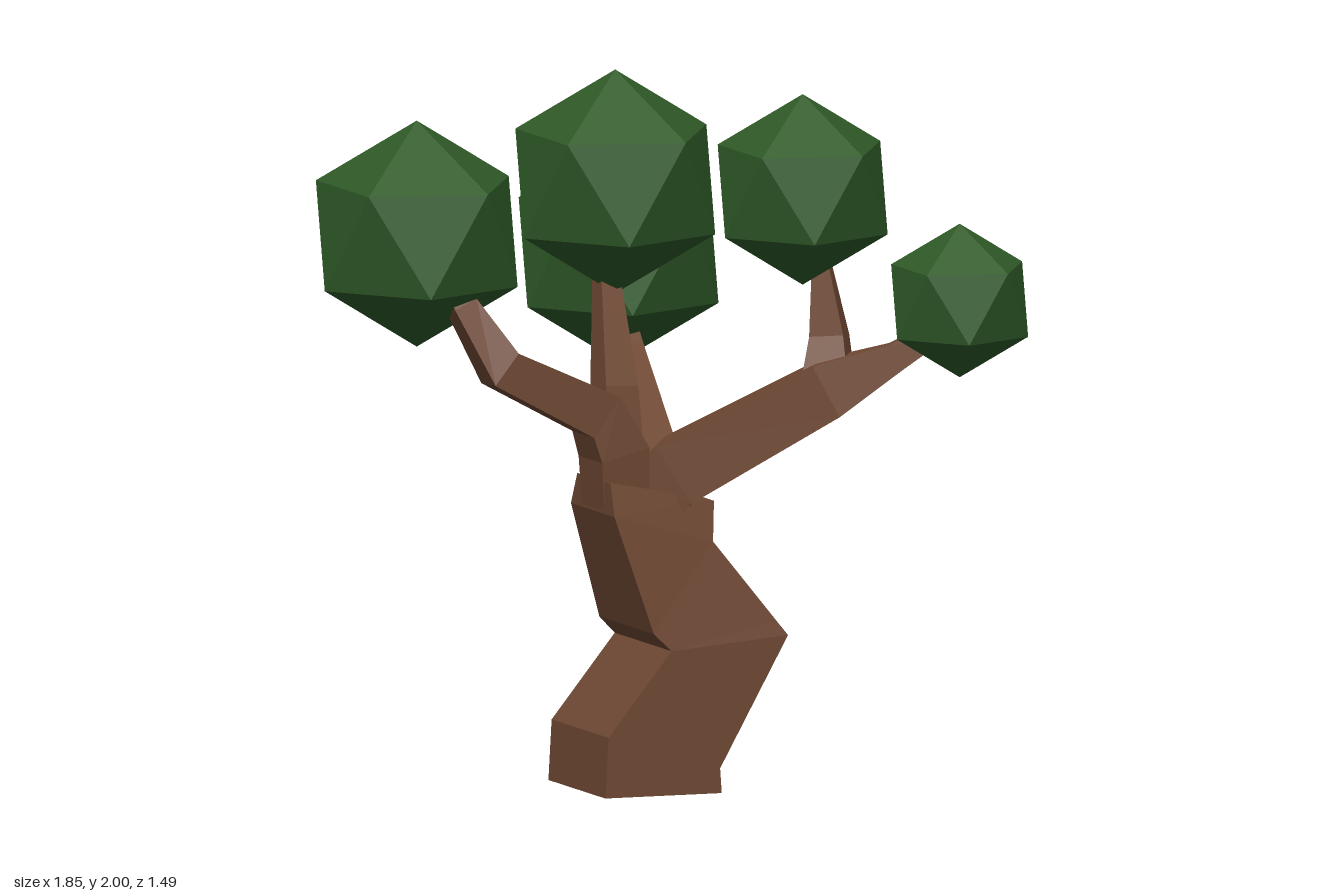
import * as THREE from 'three';

const bark = new THREE.MeshStandardMaterial({ color: 0x704934, flatShading: true });
const leaf = new THREE.MeshStandardMaterial({ color: 0x2f5a28, flatShading: true });

// Skins a list of four-cornered rings and caps both ends.
function loft(name, rings) {
  const pos = [];
  const quad = (a, b, c, d) => [a, b, c, a, c, d].forEach(p => pos.push(p.x, p.y, p.z));
  for (let r = 0; r < rings.length - 1; r++) {
    const lo = rings[r], hi = rings[r + 1];
    for (let i = 0; i < 4; i++) {
      const j = (i + 1) % 4;
      quad(lo[i], lo[j], hi[j], hi[i]);
    }
  }
  quad(...[...rings[0]].reverse());
  quad(...rings[rings.length - 1]);
  const geo = new THREE.BufferGeometry();
  geo.setAttribute('position', new THREE.Float32BufferAttribute(pos, 3));
  geo.computeVertexNormals();
  const mesh = new THREE.Mesh(geo, bark);
  mesh.name = name;
  return mesh;
}

// Square tapering limb along points [x, y, z, half width]; side sets its roll.
function limb(name, side, path) {
  const pts = path.map(p => new THREE.Vector3(p[0], p[1], p[2]));
  const ref = new THREE.Vector3(...side);
  const rings = pts.map((p, i) => {
    const before = pts[Math.max(i - 1, 0)], after = pts[Math.min(i + 1, pts.length - 1)];
    const t = after.clone().sub(before).normalize();
    const u = ref.clone().addScaledVector(t, -ref.dot(t)).normalize();
    const v = t.clone().cross(u);
    const h = path[i][3];
    return [[-1, -1], [1, -1], [1, 1], [-1, 1]].map(([a, b]) =>
      p.clone().addScaledVector(u, a * h).addScaledVector(v, b * h));
  });
  return loft(name, rings);
}

export function createModel() {
  const tree = new THREE.Group();
  tree.name = 'tree';

  // Crooked trunk: left x, y, right x, y, back z, front z
  const trunk = [
    [-0.255, 0.01, 0.105, 0, -0.03, 0.33],
    [-0.245, 0.18, 0.10, 0.07, -0.03, 0.33],
    [-0.05, 0.41, 0.31, 0.43, -0.03, 0.33],
    [-0.10, 0.46, 0.28, 0.47, -0.025, 0.32],
    [-0.20, 0.79, 0.105, 0.70, 0, 0.275],
    [-0.20, 0.88, 0.12, 0.81, 0.04, 0.25],
  ].map(([xl, yl, xr, yr, zb, zf]) => [
    new THREE.Vector3(xl, yl, zf), new THREE.Vector3(xr, yr, zf),
    new THREE.Vector3(xr, yr, zb), new THREE.Vector3(xl, yl, zb),
  ]);
  tree.add(loft('trunk', trunk));

  // Branches
  tree.add(
    limb('rightBranch', [0, 0, 1], [
      [-0.13, 0.80, 0.14, 0.07], [-0.135, 0.95, 0.14, 0.075], [-0.19, 1.06, 0.14, 0.068],
      [-0.49, 1.21, 0.145, 0.056], [-0.575, 1.38, 0.08, 0.036], [-0.60, 1.46, 0.04, 0.03]]),
    limb('topBranch', [0, 0, 1], [
      [-0.12, 0.92, 0.12, 0.06], [-0.11, 1.12, 0.09, 0.05],
      [-0.085, 1.40, -0.01, 0.03], [-0.08, 1.46, -0.02, 0.028]]),
    limb('leftBranch', [0.58, 0, -0.8], [
      [-0.01, 0.81, 0.13, 0.09], [0.05, 0.89, 0.17, 0.095], [0.40, 1.13, 0.41, 0.08],
      [0.56, 1.22, 0.50, 0.04], [0.67, 1.29, 0.54, 0.03]]),
    limb('leftFork', [0.58, 0, -0.8], [
      [0.40, 1.11, 0.40, 0.07], [0.42, 1.27, 0.365, 0.048],
      [0.405, 1.46, 0.35, 0.025], [0.40, 1.53, 0.35, 0.025]]),
    limb('backBranch', [1, 0, 0], [
      [0.04, 0.57, 0.05, 0.06], [0.045, 0.83, -0.01, 0.08],
      [0.135, 1.15, -0.33, 0.036], [0.15, 1.24, -0.41, 0.03]]),
  );

  // Foliage: icosahedra standing on a corner
  const ball = new THREE.IcosahedronGeometry(1, 0);
  ball.rotateZ(-Math.atan(2 / (1 + Math.sqrt(5))));
  [
    ['rightFoliage', -0.645, 1.57, -0.065, 0.318],
    ['topFoliage', -0.063, 1.685, 0, 0.315],
    ['leftFoliage', 0.338, 1.687, 0.365, 0.268],
    ['smallFoliage', 0.728, 1.375, 0.56, 0.216],
    ['backFoliage', 0.182, 1.405, -0.48, 0.315],
  ].forEach(([name, x, y, z, r]) => {
    const m = new THREE.Mesh(ball, leaf);
    m.name = name;
    m.position.set(x, y, z);
    m.scale.setScalar(r);
    tree.add(m);
  });

  return tree;
}
